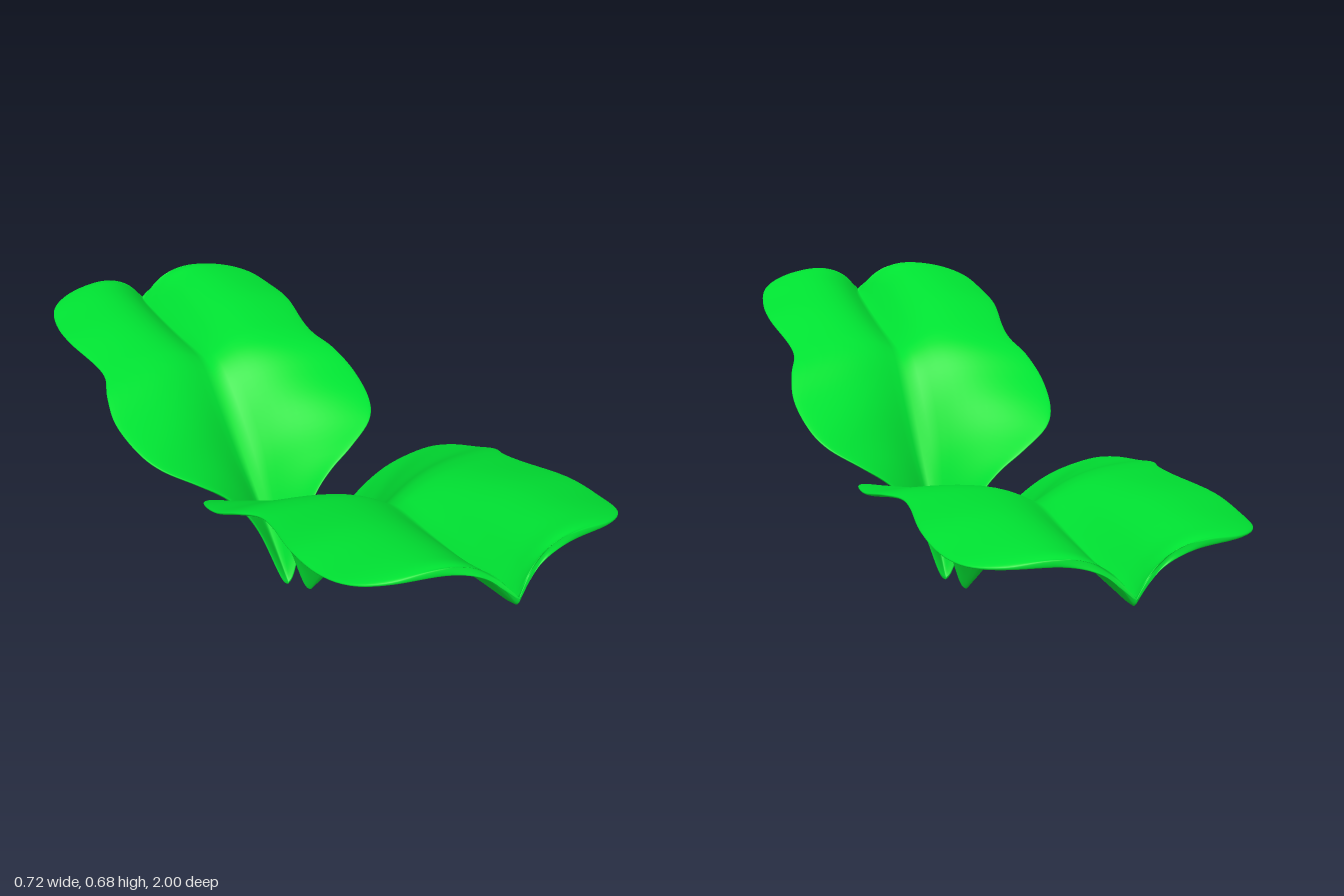
import * as THREE from 'three';

// Half-leaf stations from base to tip:
// rim x, rim y, rim z, midrib y, midrib z, upward bulge of the blade
const STATIONS = [
  [0, 0, 0, 0, 0, 0],
  [0.021, 0.03, 0, 0.01, 0.008, 0],
  [0.065, 0.16, 0.002, 0.045, 0.036, 0.008],
  [0.105, 0.235, 0.004, 0.09, 0.073, 0.016],
  [0.155, 0.288, 0.007, 0.14, 0.113, 0.025],
  [0.22, 0.333, 0.015, 0.2, 0.161, 0.035],
  [0.295, 0.378, 0.05, 0.265, 0.213, 0.043],
  [0.332, 0.415, 0.115, 0.335, 0.268, 0.047],
  [0.347, 0.462, 0.225, 0.41, 0.328, 0.043],
  [0.333, 0.508, 0.315, 0.468, 0.38, 0.038],
  [0.311, 0.536, 0.385, 0.497, 0.425, 0.036],
  [0.313, 0.556, 0.46, 0.51, 0.48, 0.042],
  [0.335, 0.588, 0.6, 0.523, 0.61, 0.06],
  [0.332, 0.608, 0.72, 0.54, 0.74, 0.07],
  [0.308, 0.632, 0.81, 0.555, 0.83, 0.068],
  [0.25, 0.652, 0.862, 0.562, 0.875, 0.06],
  [0.165, 0.666, 0.882, 0.568, 0.9, 0.038],
  [0.1, 0.66, 0.89, 0.572, 0.915, 0.022],
  [0.05, 0.63, 0.903, 0.576, 0.923, 0.008],
  [0, 0.585, 0.93, 0.585, 0.93, 0],
];
const ROWS = 95, COLS = 40, THICKNESS = 0.02;
const FOLD = 0.1; // softness of the valley along the midrib

const smooth = (pick) => new THREE.CatmullRomCurve3(
  STATIONS.map((s) => new THREE.Vector3(...pick(s))), false, 'catmullrom', 0.5);

// Closed blade with a rounded rim: each row loops over the top face and back under it
function leafGeometry() {
  const rim = smooth((s) => [s[0], s[1], s[2]]);
  const rib = smooth((s) => [s[5], s[3], s[4]]);
  const ring = COLS * 2, pos = [], index = [];
  for (let i = 0; i <= ROWS; i++) {
    const t = i / ROWS, e = rim.getPoint(t), m = rib.getPoint(t);
    const taper = Math.pow(Math.max(0, Math.sin(Math.PI * t)), 0.3);
    for (let j = 0; j < ring; j++) {
      const under = j > COLS;
      const s = Math.sin((Math.PI / 2) * ((under ? ring - j : j) / COLS * 2 - 1));
      const a = (Math.hypot(s, FOLD) - FOLD) / (Math.hypot(1, FOLD) - FOLD);
      const round = Math.sqrt(Math.max(0, 1 - Math.pow(s, 8)));
      // the rim sits mid-thickness, the two faces part from it
      const drop = THICKNESS * taper * (under ? 0.6 : -0.4) * round;
      const y = THREE.MathUtils.lerp(m.y, e.y, a) + m.x * Math.sin(Math.PI * Math.pow(a, 0.65));
      const z = THREE.MathUtils.lerp(m.z, e.z, a);
      pos.push(e.x * s, y - drop, z + drop * 0.4);
    }
  }
  for (let i = 0; i < ROWS; i++) {
    for (let j = 0; j < ring; j++) {
      const k = (j + 1) % ring;
      const a = i * ring + j, b = a + ring, c = i * ring + k, d = c + ring;
      index.push(a, b, c, b, d, c);
    }
  }
  const g = new THREE.BufferGeometry();
  g.setAttribute('position', new THREE.Float32BufferAttribute(pos, 3));
  g.setIndex(index);
  g.computeVertexNormals();
  return g;
}

export function createModel() {
  const group = new THREE.Group();
  group.name = 'seedling';
  const geometry = leafGeometry();
  const material = new THREE.MeshStandardMaterial({ color: 0x00e232, side: THREE.DoubleSide });

  // The same leaf twice; the rear one turned around and tipped lower
  const addLeaf = (name, position, yaw, pitch) => {
    const leaf = new THREE.Mesh(geometry, material);
    leaf.name = name;
    leaf.position.set(...position);
    leaf.rotation.set(pitch, yaw, 0, 'YXZ');
    group.add(leaf);
  };
  addLeaf('frontLeaf', [0.018, 0.01, 0.07], -0.025, 0);
  addLeaf('backLeaf', [-0.02, 0.003, 0.02], Math.PI - 0.006, 0.178);
  return group;
}
